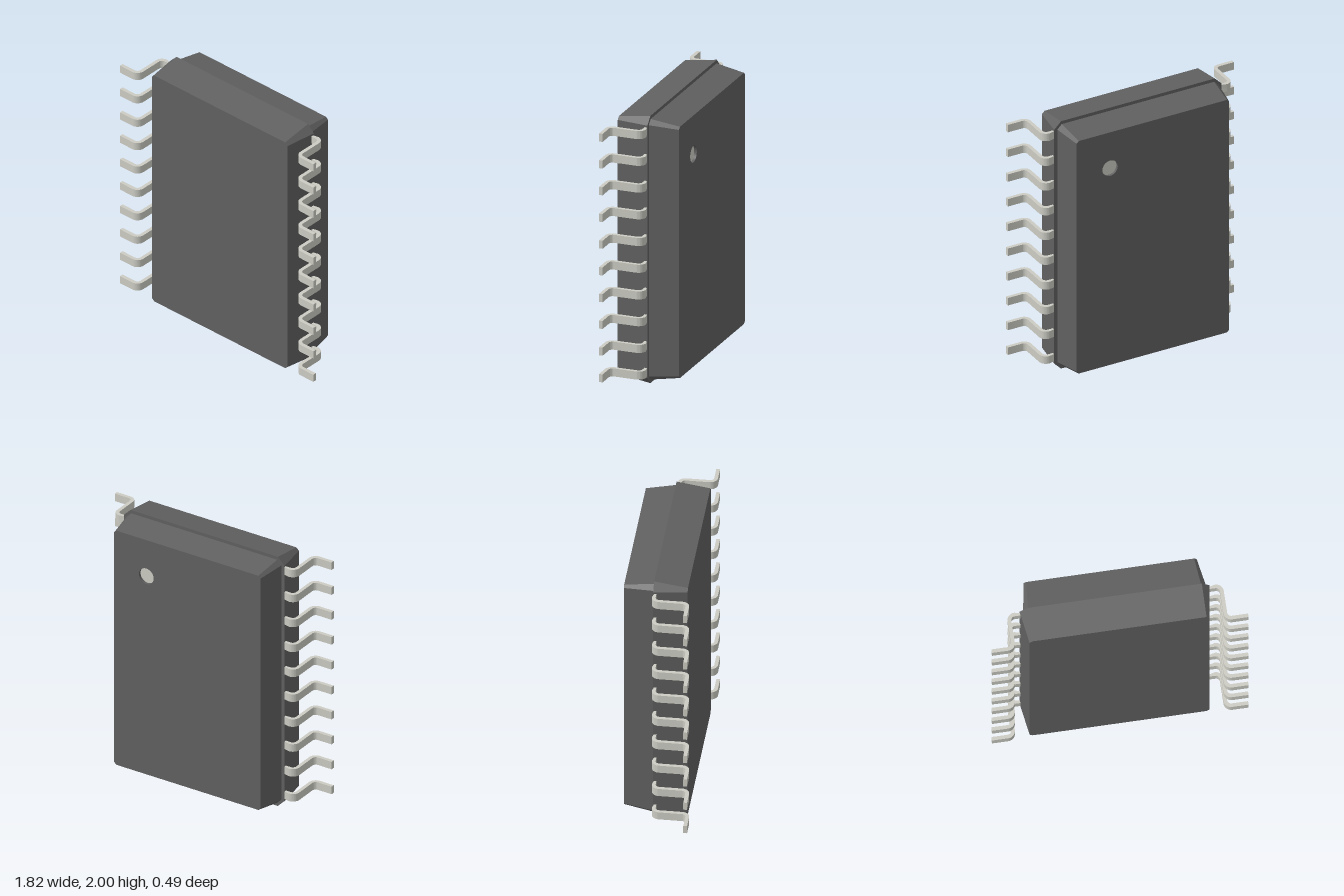
import * as THREE from 'three';
import { mergeGeometries, toCreasedNormals } from 'three/addons/utils/BufferGeometryUtils.js';

const PART_Z = -0.03; // parting plane between the two body halves
const MARK = { x: 0.345, y: 0.65, r: 0.062, depth: 0.02 }; // y from the body centre

// Rectangle with chamfered corners, counter-clockwise
function octagon(hx, hy, c) {
  return [
    [hx, -hy + c], [hx, hy - c], [hx - c, hy], [-hx + c, hy],
    [-hx, hy - c], [-hx, -hy + c], [-hx + c, -hy], [hx - c, -hy],
  ].map(([x, y]) => new THREE.Vector2(x, y));
}

// Flat cap at height z, optionally with a round hole
function cap(points, z, hole) {
  const shape = new THREE.Shape(points);
  if (hole) {
    const path = new THREE.Path();
    path.absarc(hole.x, hole.y, hole.r, 0, Math.PI * 2, true);
    shape.holes.push(path);
  }
  const geo = new THREE.ShapeGeometry(shape, 16).toNonIndexed();
  geo.deleteAttribute('uv');
  return geo.translate(0, 0, z);
}

// Tapered half body from the base outline (z = 0) to the face outline (z = depth)
function taperedHalf(base, face, depth, hole) {
  const pos = [];
  base.forEach((a, i) => {
    const j = (i + 1) % base.length;
    const b = base[j], c = face[j], d = face[i];
    pos.push(a.x, a.y, 0, b.x, b.y, 0, c.x, c.y, depth);
    pos.push(a.x, a.y, 0, c.x, c.y, depth, d.x, d.y, depth);
  });
  const sides = new THREE.BufferGeometry();
  sides.setAttribute('position', new THREE.Float32BufferAttribute(pos, 3));
  sides.computeVertexNormals();
  const bottom = cap(base, 0).rotateY(Math.PI); // outline is symmetric
  return mergeGeometries([sides, cap(face, depth, hole), bottom]);
}

// Gull-wing lead: S-shaped strip in the x-z plane, extruded along y
function leadGeometry() {
  const R = 0.055, r = 0.028, h = 0.06, q = Math.PI / 2;
  const s = new THREE.Shape();
  s.moveTo(0.6, 0.034);
  s.absarc(0.713, -0.021, R, q, 0, true);
  s.absarc(0.796, -0.186, r, 2 * q, 3 * q, false);
  s.lineTo(0.912, -0.214);
  s.lineTo(0.912, -0.241);
  s.absarc(0.796, -0.186, R, 3 * q, 2 * q, true);
  s.absarc(0.713, -0.021, r, 0, q, false);
  s.lineTo(0.6, 0.007);
  s.closePath();
  const geo = new THREE.ExtrudeGeometry(s, { depth: h, bevelEnabled: false, curveSegments: 6 });
  geo.translate(0, 0, -h / 2).rotateX(-Math.PI / 2);
  return toCreasedNormals(geo, 0.6);
}

export function createModel() {
  const model = new THREE.Group();
  model.name = 'chipPackage';
  const dark = new THREE.MeshStandardMaterial({ color: 0x606060 });
  const metal = new THREE.MeshStandardMaterial({ color: 0xccccc4 });
  const wall = new THREE.MeshStandardMaterial({ color: 0x606060, side: THREE.DoubleSide });

  const add = (name, geo, mat, x, y, z) => {
    const mesh = new THREE.Mesh(geo, mat);
    mesh.name = name;
    mesh.position.set(x, y, z);
    model.add(mesh);
    return mesh;
  };

  // Body halves
  add('frontBody', taperedHalf(octagon(0.675, 1, 0.055), octagon(0.64, 0.965, 0.022), 0.24),
    dark, 0, 1, PART_Z);
  const backDepth = 0.215;
  const back = taperedHalf(octagon(0.65, 0.975, 0.035), octagon(0.615, 0.94, 0.018), backDepth,
    { x: -MARK.x, y: MARK.y, r: MARK.r });
  add('backBody', back.rotateY(Math.PI), dark, 0, 1, PART_Z);

  // Recessed round mark on the back face
  const backZ = PART_Z - backDepth;
  const ring = new THREE.CylinderGeometry(MARK.r, MARK.r, MARK.depth, 32, 1, true).rotateX(Math.PI / 2);
  add('markWall', ring, wall, MARK.x, 1 + MARK.y, backZ + MARK.depth / 2);
  const disc = new THREE.CircleGeometry(MARK.r, 32).rotateY(Math.PI);
  add('markDisc', disc, metal, MARK.x, 1 + MARK.y, backZ + MARK.depth);

  // Ten leads on each side
  const leftLead = leadGeometry();
  const rightLead = leftLead.clone().rotateZ(Math.PI);
  for (let i = 0; i < 10; i++) {
    const y = 0.1 + 0.2 * i;
    add('leftLead', leftLead, metal, 0, y, 0);
    add('rightLead', rightLead, metal, 0, y, 0);
  }
  return model;
}
